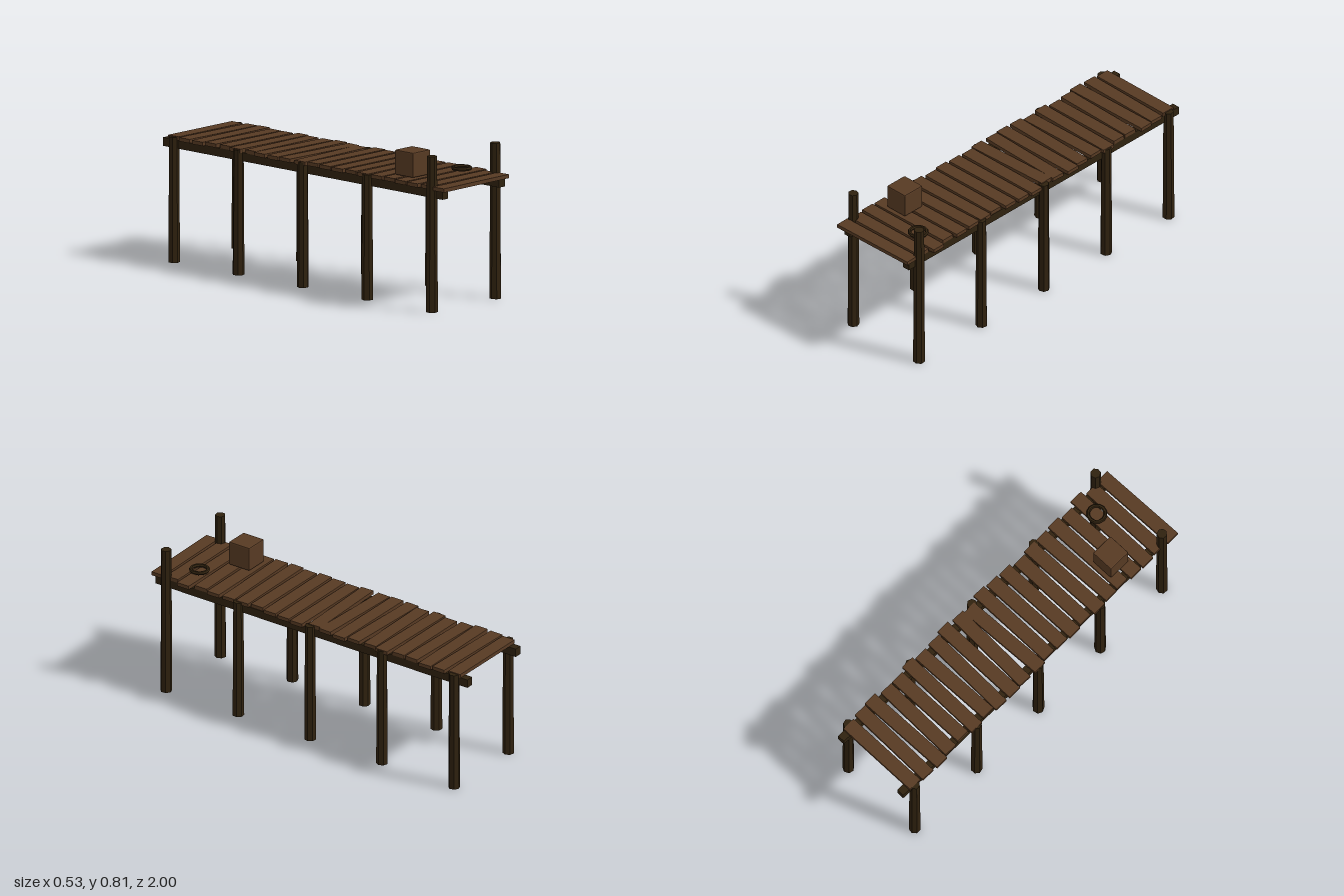
import * as THREE from 'three';
import { RoundedBoxGeometry } from 'three/addons/geometries/RoundedBoxGeometry.js';

export function createModel() {
  const dock = new THREE.Group();
  dock.name = 'dock';
  const plankWood = new THREE.MeshStandardMaterial({ name: 'plankWood', color: 0x573a23, flatShading: true });
  const darkWood = new THREE.MeshStandardMaterial({ name: 'darkWood', color: 0x30220f, flatShading: true });

  const add = (name, geometry, material, x, y, z, turn = 0) => {
    const mesh = new THREE.Mesh(geometry, material);
    mesh.name = name;
    mesh.position.set(x, y, z);
    mesh.rotation.y = turn;
    dock.add(mesh);
    return mesh;
  };

  // Five pairs of tapered posts; the front pair rises above the deck
  for (let i = 0; i < 5; i++) {
    const height = i === 0 ? 0.815 : 0.655;
    for (const side of [-1, 1]) {
      const post = new THREE.CylinderGeometry(0.027, 0.031, height, 7);
      add('post', post, darkWood, side * 0.2365, height / 2, 0.9 - i * 0.455, side * 0.3 + i * 0.7);
    }
  }

  // Long beams under the deck
  for (const side of [-1, 1]) {
    add('beam', new THREE.BoxGeometry(0.042, 0.045, 1.97), darkWood, side * 0.211, 0.6175, -0.015);
  }

  // Deck planks from back to front: left end, right end (hundredths), turn (radians)
  const planks = [
    [-24, 23.5, 0], [-25, 24.5, -0.02], [-25.5, 25.2, 0.015], [-24, 23.3, -0.025],
    [-23.2, 23.3, 0.005], [-25, 25.2, -0.015], [-23.7, 23.8, 0.02], [-25.5, 24.2, -0.03],
    [-25.7, 25.7, 0], [-25.2, 24.5, -0.035], [-25.5, 23.3, 0.04], [-24.1, 26, 0],
    [-24.6, 25.2, 0.01], [-25.2, 24.7, 0.01], [-24.1, 23, 0], [-25.2, 24.2, 0.015],
    [-24.6, 24.2, 0.03], [-24.1, 24.6, 0.01], [-25.2, 23.3, 0.02], [-25.5, 26, 0],
    [-24.6, 23.3, 0.01], [-25.4, 24, 0.02],
  ];
  planks.forEach(([left, right, turn], i) => {
    const geometry = new THREE.BoxGeometry((right - left) / 100, 0.02, 0.075);
    add('plank', geometry, plankWood, (left + right) / 200, 0.65, -0.92 + i * 0.0894, turn);
  });

  // Crate with chamfered edges
  add('crate', new RoundedBoxGeometry(0.13, 0.131, 0.13, 1, 0.007), plankWood, -0.115, 0.7295, 0.648);

  // Coiled rope ring
  const ring = add('ropeRing', new THREE.TorusGeometry(0.045, 0.01, 6, 12), darkWood, 0.112, 0.6835, 0.78);
  ring.rotation.x = -Math.PI / 2;

  return dock;
}
